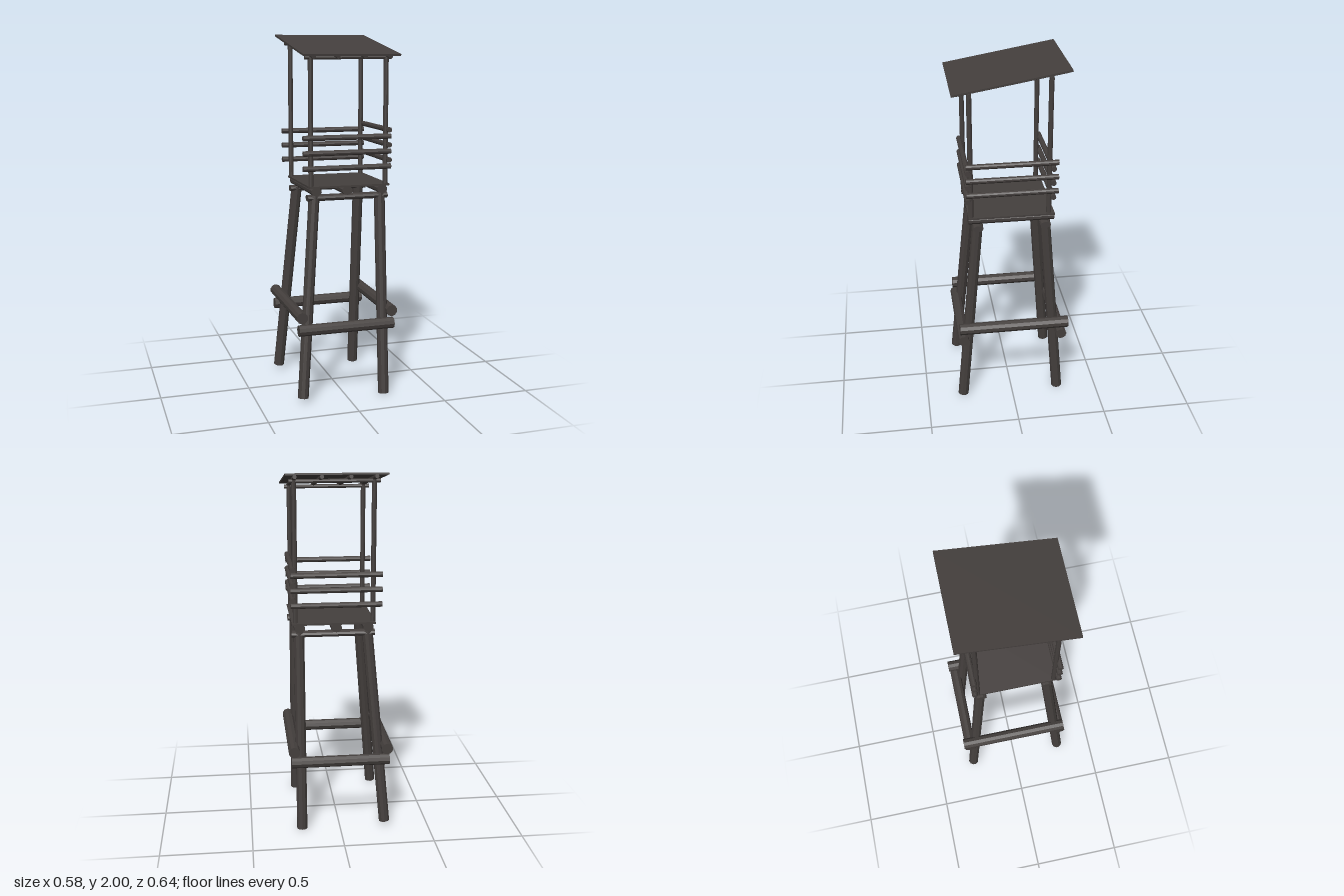
import * as THREE from 'three';

const wood = new THREE.MeshStandardMaterial({ color: 0x443f3d, flatShading: true });
wood.name = 'dark weathered wood';

const UP = new THREE.Vector3(0, 1, 0);

// A faceted log between two points; squash < 1 flattens a horizontal log in height
function log(name, from, to, radius, squash = 1, sides = 10) {
  const a = new THREE.Vector3(...from), b = new THREE.Vector3(...to);
  const dir = b.clone().sub(a);
  const geo = new THREE.CylinderGeometry(radius, radius, dir.length(), sides);
  geo.applyQuaternion(new THREE.Quaternion().setFromUnitVectors(UP, dir.normalize()));
  geo.scale(1, squash, 1);
  const mesh = new THREE.Mesh(geo, wood);
  mesh.name = name;
  mesh.position.copy(a).add(b).multiplyScalar(0.5);
  return mesh;
}

// Height of the roof's top face at depth z
const roofY = z => 1.892 + (0.32 - z) * 0.172;

export function createModel() {
  const tower = new THREE.Group();
  tower.name = 'lookoutTower';
  const add = (...args) => tower.add(log(...args));

  // Legs: the -x pair leans inward, the +x pair stands straight in x
  for (const [z0, z1] of [[0.29, 0.19], [-0.272, -0.178]]) {
    add('leaningLeg', [-0.255, 0.028, z0], [-0.16, 1.135, z1], 0.03);
    add('uprightLeg', [0.215, 0.005, z0], [0.215, 1.135, z1], 0.03);
    // Bearer across the leg tops
    add('platformBearer', [-0.2, 1.124, z1], [0.256, 1.124, z1], 0.029, 0.62);
  }

  // Brace logs around the legs
  for (const z of [0.284, -0.28]) add('crossBrace', [-0.277, 0.411, z], [0.27, 0.411, z], 0.031);
  for (const x of [-0.26, 0.256]) add('sideBrace', [x, 0.485, 0.303], [x, 0.485, -0.318], 0.032);

  // Platform joists and floor
  for (const x of [-0.16, 0.014, 0.214])
    add('floorJoist', [x, 1.164, 0.24], [x, 1.164, -0.226], 0.03, 0.8);
  const floor = new THREE.Mesh(new THREE.BoxGeometry(0.456, 0.01, 0.466), wood);
  floor.name = 'platformFloor';
  floor.position.set(0.028, 1.187, 0.007);
  tower.add(floor);

  // Roof posts and the beam over each pair
  for (const z of [0.225, -0.195]) {
    const top = roofY(z) - 0.033;
    for (const x of [-0.188, 0.235]) add('roofPost', [x, 1.185, z], [x, top + 0.015, z], 0.0135);
    add('roofBeam', [-0.22, top, z], [0.262, top, z], 0.011);
  }

  // Railings on the front, back and +x side; the -x side is the open entrance
  for (let i = 0; i < 3; i++) {
    const y = 1.289 + i * 0.082;
    add('frontRail', [-0.235, y, 0.241], [0.26, y, 0.241], 0.015);
    add('backRail', [-0.235, y, -0.215], [0.26, y, -0.215], 0.015);
    add('sideRail', [0.25, y + 0.034, 0.25], [0.25, y + 0.034, -0.242], 0.015);
  }

  // Rafters and sloping roof board
  for (const x of [-0.188, -0.055, 0.095, 0.235])
    add('rafter', [x, roofY(0.295) - 0.018, 0.295], [x, roofY(-0.285) - 0.018, -0.285], 0.011);
  const roof = new THREE.Mesh(new THREE.BoxGeometry(0.535, 0.01, 0.62), wood);
  roof.name = 'roofBoard';
  roof.position.set(0.017, roofY(0.012) - 0.005, 0.012);
  roof.rotation.x = Math.atan(0.172);
  tower.add(roof);

  return tower;
}
